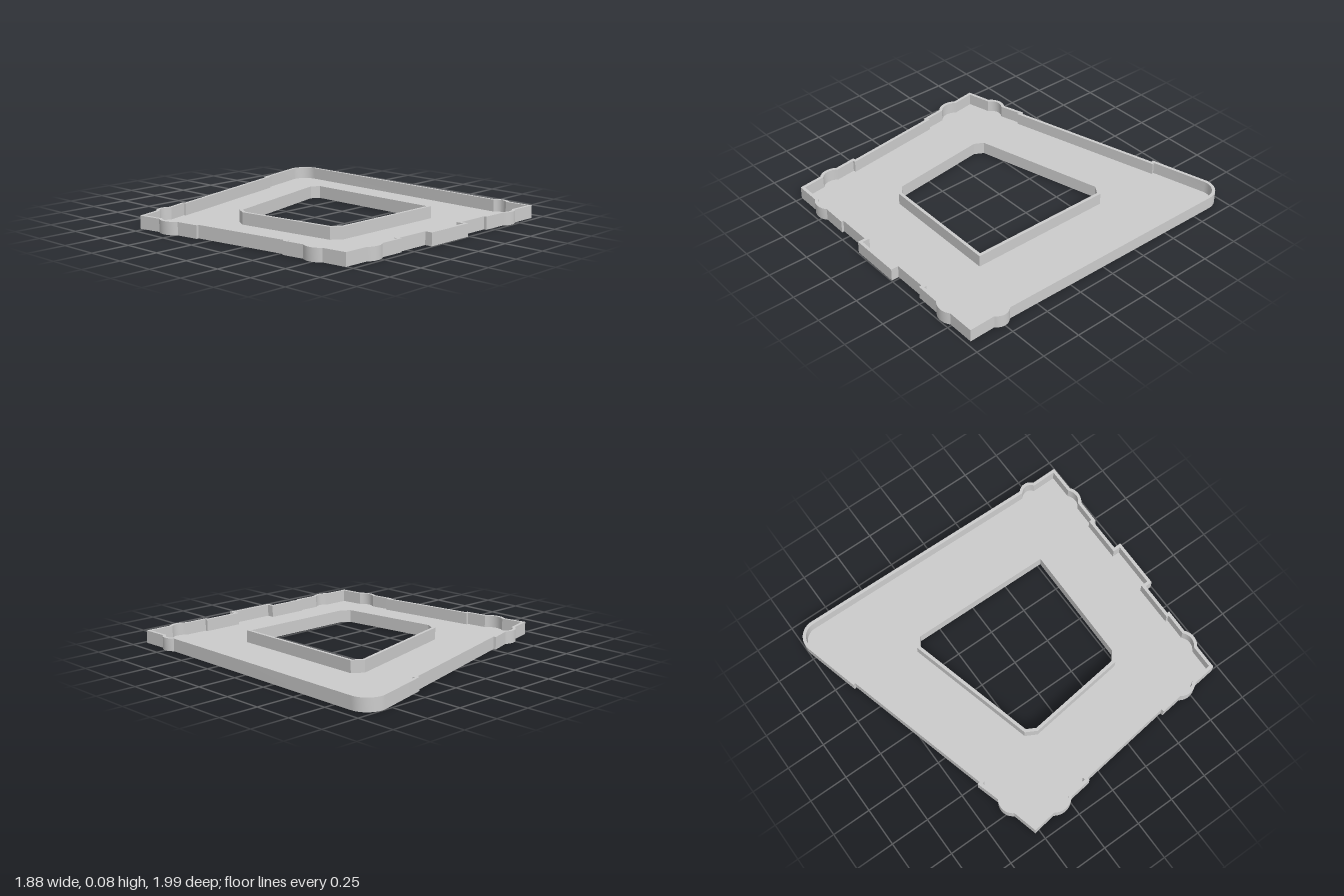
import * as THREE from 'three';
import { toCreasedNormals } from 'three/addons/utils/BufferGeometryUtils.js';

const HEIGHT = 0.08, WALL = 0.02, FLOOR = 0.004;

// Points of a circular arc from a to b, bulging outwards by sag
function arc(a, b, sag, n = 10) {
  const dx = b[0] - a[0], dz = b[1] - a[1], chord = Math.hypot(dx, dz);
  const half = 2 * Math.atan2(2 * sag, chord), r = chord / 2 / Math.sin(half);
  const out = [dz / chord, -dx / chord];
  return Array.from({ length: n + 1 }, (_, i) => {
    const t = -half + (2 * half * i) / n;
    const along = 0.5 + (r * Math.sin(t)) / chord;
    const up = r * (Math.cos(t) - Math.cos(half));
    return [a[0] + dx * along + out[0] * up, a[1] + dz * along + out[1] * up];
  });
}

// Shift a closed outline inwards by d with mitred corners
function inset(pts, d) {
  const n = pts.length;
  const normal = (p, q) => {
    const l = Math.hypot(q[0] - p[0], q[1] - p[1]);
    return [-(q[1] - p[1]) / l, (q[0] - p[0]) / l];
  };
  return pts.map((p, i) => {
    const a = normal(pts[(i + n - 1) % n], p), b = normal(p, pts[(i + 1) % n]);
    const k = d / (1 + a[0] * b[0] + a[1] * b[1]);
    return [p[0] + (a[0] + b[0]) * k, p[1] + (a[1] + b[1]) * k];
  });
}

// Parapet: a rectangular section swept between two matching outlines
function parapet(name, outer, inner, material) {
  const n = outer.length, positions = [], index = [];
  outer.forEach(([x, z], i) => {
    const [u, v] = inner[i];
    positions.push(x, 0, z, x, HEIGHT, z, u, HEIGHT, v, u, 0, v);
    for (let k = 0; k < 4; k++) {
      const m = (k + 1) % 4, j = (i + 1) % n;
      const a = i * 4 + k, b = i * 4 + m, c = j * 4 + m, d = j * 4 + k;
      index.push(a, b, c, a, c, d);
    }
  });
  const geo = new THREE.BufferGeometry();
  geo.setAttribute('position', new THREE.Float32BufferAttribute(positions, 3));
  geo.setIndex(index);
  const mesh = new THREE.Mesh(toCreasedNormals(geo, 0.45), material);
  mesh.name = name;
  return mesh;
}

// Thin deck filling the space between the parapets
function deck(outer, hole, material) {
  const vec = (pts) => pts.map(([x, z]) => new THREE.Vector2(x, -z));
  const shape = new THREE.Shape(vec(outer).reverse());
  shape.holes.push(new THREE.Path(vec(hole)));
  const geo = new THREE.ExtrudeGeometry(shape, { depth: FLOOR, bevelEnabled: false });
  geo.rotateX(-Math.PI / 2);
  const mesh = new THREE.Mesh(geo, material);
  mesh.name = 'roofDeck';
  return mesh;
}

export function createModel() {
  const group = new THREE.Group();
  group.name = 'flatRoof';
  const material = new THREE.MeshStandardMaterial({ color: 0xcccccc, side: THREE.DoubleSide });

  const outline = [
    // back edge with turret bump, shallow recess and rounded corner
    [-0.94, -0.53],
    ...arc([-0.785, -0.57], [-0.66, -0.6], 0.028),
    [-0.515, -0.643], [-0.511, -0.627], [0.439, -0.885], [0.435, -0.9],
    ...arc([0.8, -0.996], [0.935, -0.88], 0.043, 14),
    // right edge with bump
    ...arc([0.911, 0.695], [0.911, 0.805], 0.026),
    [0.914, 0.973],
    // front edge with bumps and central projection
    ...arc([0.74, 0.972], [0.615, 0.97], 0.023),
    [0.457, 0.967], [0.457, 0.95], [0.238, 0.949], [0.238, 0.997],
    [-0.09, 0.994], [-0.09, 0.947], [-0.31, 0.945], [-0.31, 0.96],
    ...arc([-0.467, 0.957], [-0.595, 0.956], 0.024),
    [-0.755, 0.954],
    // left edge with two bumps and a shallow recess
    ...arc([-0.773, 0.8], [-0.787, 0.67], 0.025),
    [-0.804, 0.53], [-0.787, 0.527], [-0.866, -0.093], [-0.882, -0.091],
    ...arc([-0.9, -0.235], [-0.919, -0.38], 0.029),
  ];
  const courtyard = [
    [-0.42, -0.23], [0.41, -0.449], [0.478, -0.402], [0.467, 0.542],
    [-0.315, 0.534], [-0.38, 0.486], [-0.458, -0.16],
  ];
  const inner = inset(outline, WALL);

  group.add(
    parapet('outerParapet', outline, inner, material),
    parapet('courtyardParapet', courtyard, inset(courtyard, WALL), material),
    deck(inner, courtyard, material),
  );
  return group;
}
